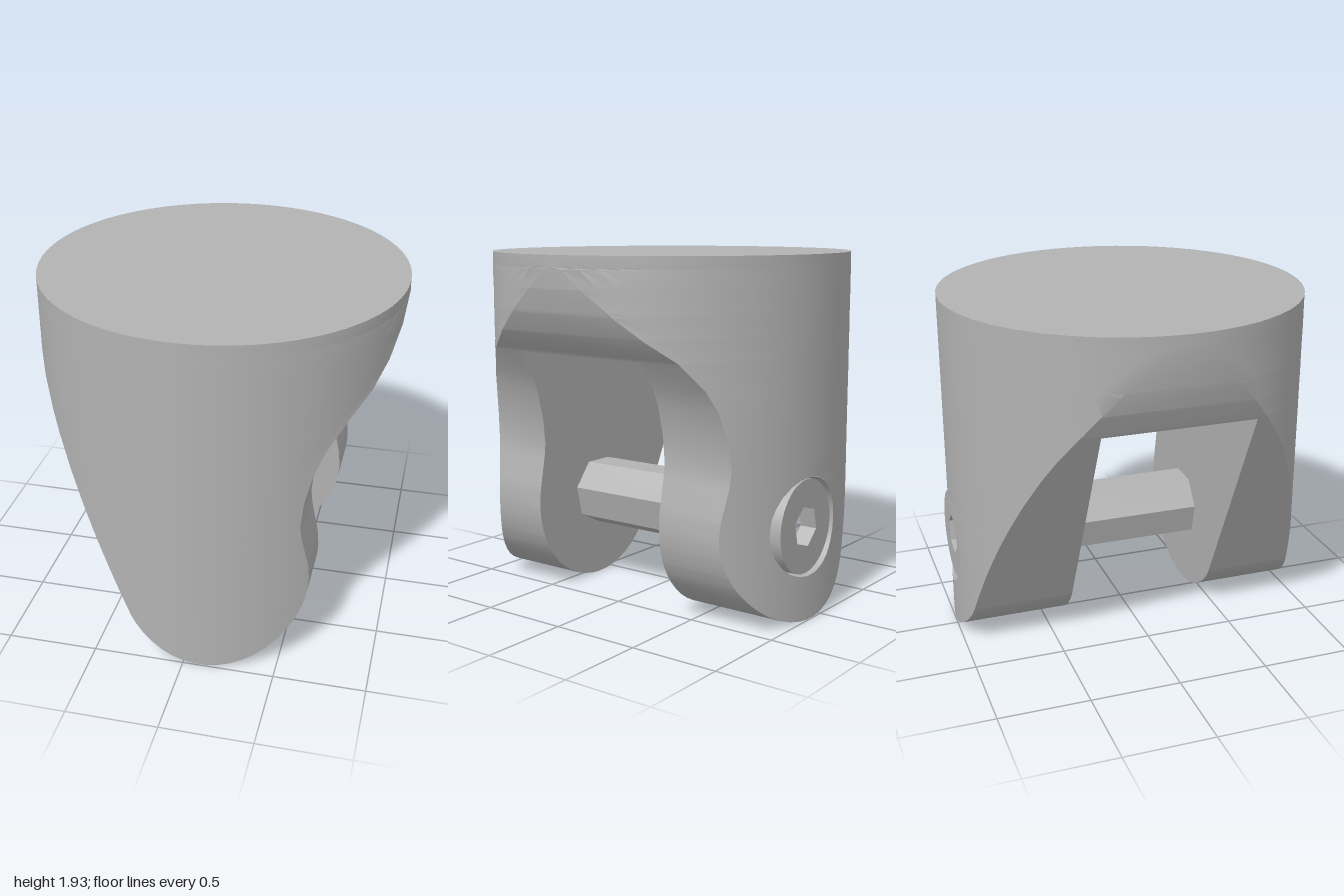
import * as THREE from 'three';
import { toCreasedNormals } from 'three/addons/utils/BufferGeometryUtils.js';

const TOP = 1.93, ROOF = 1.4, SLOT_FRONT = 0.45, SLOT_BACK = -0.39;
const CX = 0.13, CY = 0.51, LOBE = 0.51;   // rounded lower end
const HOLE = 0.268, FLOOR = -0.88;         // screw pocket in the back

// Side outlines as [y, x], above the rounded lower end
const leftSide = [[0.24, -0.3], [1.42, -0.87], [1.53, -0.915], [1.65, -0.955], [1.76, -0.985], [1.86, -1], [TOP, -1]];
const rightSide = [[CY, 0.64], [0.6, 0.633], [0.7, 0.613], [0.78, 0.597], [0.86, 0.588], [1, 0.602], [1.16, 0.642],
  [1.27, 0.692], [1.41, 0.785], [1.52, 0.88], [1.63, 0.942], [1.76, 0.985], [1.87, 1], [TOP, 1]];

const arc = (y, r) => Math.sqrt(Math.max(0, r * r - (y - CY) ** 2));
const lookUp = (pts, y) => {
  let i = 1;
  while (i < pts.length - 1 && pts[i][0] < y) i++;
  const [y0, x0] = pts[i - 1], [y1, x1] = pts[i];
  return x0 + (x1 - x0) * (y - y0) / (y1 - y0);
};
const xLeft = (y) => (y < 0.24 ? CX - arc(y, LOBE) : lookUp(leftSide, y));
const xRight = (y) => (y < CY ? CX + arc(y, LOBE) : lookUp(rightSide, y));
const zOut = (x) => Math.sqrt(Math.max(0, 1 - x * x));
const mix = THREE.MathUtils.lerp;
// Even steps round the cylinder between two x values
const around = (a, b, t) => Math.sin(mix(Math.asin(a), Math.asin(b), t));

// Heights used by every surface, so that edges meet
function makeRows() {
  const ys = [ROOF, ...leftSide.map((p) => p[0]), ...rightSide.map((p) => p[0])];
  for (let i = 0; i <= 12; i++) {
    ys.push(CY - LOBE * Math.cos(i / 12 * Math.PI / 2));
    ys.push(CY - HOLE * Math.cos(i / 12 * Math.PI));
  }
  ys.sort((a, b) => a - b);
  return ys.filter((y, i) => i === 0 || y - ys[i - 1] > 1e-5);
}

function bodyGeometry() {
  const pos = [];
  // Surface over u (n steps) and a list of v values
  const grid = (n, vs, point, flip = false) => {
    for (let j = 0; j < vs.length - 1; j++) {
      for (let i = 0; i < n; i++) {
        const a = point(i / n, vs[j]), b = point((i + 1) / n, vs[j]);
        const c = point((i + 1) / n, vs[j + 1]), d = point(i / n, vs[j + 1]);
        pos.push(...(flip ? [a, c, b, a, d, c] : [a, b, c, a, c, d]).flat());
      }
    }
  };
  const rows = makeRows();
  const low = rows.filter((y) => y <= ROOF), high = rows.filter((y) => y >= ROOF);

  // Curved outer faces, the back one leaving the screw hole open
  for (const s of [1, -1]) {
    const gap = (y) => (s < 0 ? arc(y, HOLE) : 0);
    const outer = (x, y) => [x, y, s * zOut(x)];
    grid(12, rows, (u, y) => outer(around(xLeft(y), CX - gap(y), u), y), s < 0);
    grid(12, rows, (u, y) => outer(around(CX + gap(y), xRight(y), u), y), s < 0);
  }
  // Cheek faces inside the slot
  grid(1, low, (u, y) => [mix(xLeft(y), xRight(y), u), y, SLOT_FRONT], true);
  grid(1, low, (u, y) => [mix(xLeft(y), xRight(y), u), y, SLOT_BACK]);
  // Shaped side walls
  for (const [side, flip] of [[xLeft, false], [xRight, true]]) {
    const wall = (ys, from, to) => grid(1, ys, (u, y) => {
      const x = side(y);
      return [x, y, mix(from ?? -zOut(x), to ?? zOut(x), u)];
    }, flip);
    wall(low, SLOT_FRONT, null);
    wall(low, null, SLOT_BACK);
    wall(high, null, null);
  }
  // Slot roof and flat top
  grid(1, [SLOT_BACK, SLOT_FRONT], (u, z) => [mix(xLeft(ROOF), xRight(ROOF), u), ROOF, z]);
  grid(32, [1, -1], (u, s) => { const x = around(-1, 1, u); return [x, TOP, s * zOut(x)]; });
  // Pocket wall and floor
  const pocket = (u, r, atFloor) => {
    const x = CX + r * Math.cos(u * Math.PI * 2);
    return [x, CY + r * Math.sin(u * Math.PI * 2), atFloor ? FLOOR : -zOut(x)];
  };
  grid(32, [0, 1], (u, v) => pocket(u, HOLE, v === 0));
  grid(32, [0, HOLE], (u, r) => pocket(u, r, true), true);

  const g = new THREE.BufferGeometry();
  g.setAttribute('position', new THREE.Float32BufferAttribute(pos, 3));
  return toCreasedNormals(g, 0.5);
}

export function createModel() {
  const group = new THREE.Group();
  const grey = new THREE.MeshStandardMaterial({ color: 0xb2b2b2 });
  grey.name = 'plain grey';
  const add = (name, geometry) => {
    const mesh = new THREE.Mesh(geometry, grey);
    mesh.name = name;
    group.add(mesh);
    return mesh;
  };

  add('forkBody', bodyGeometry());

  // Faceted cross pin between the cheeks
  const length = SLOT_FRONT - SLOT_BACK + 0.04;
  const pin = new THREE.CylinderGeometry(0.2, 0.2, length, 7).toNonIndexed();
  pin.computeVertexNormals();
  pin.rotateX(Math.PI / 2);
  add('crossPin', pin).position.set(CX, CY, (SLOT_FRONT + SLOT_BACK) / 2);

  // Round screw head with a six-sided socket, sunk in the back
  const disc = new THREE.Shape().absarc(CX, CY, 0.255, 0, Math.PI * 2);
  const socket = new THREE.Path();
  for (let i = 0; i < 6; i++) {
    const a = i * Math.PI / 3 + 0.3;
    socket[i ? 'lineTo' : 'moveTo'](CX + 0.115 * Math.cos(a), CY + 0.115 * Math.sin(a));
  }
  socket.closePath();
  disc.holes.push(socket);
  const head = new THREE.ExtrudeGeometry(disc, { depth: 0.095, bevelEnabled: false, curveSegments: 32 });
  add('screwHead', toCreasedNormals(head, 0.5)).position.z = -0.975;

  return group;
}
